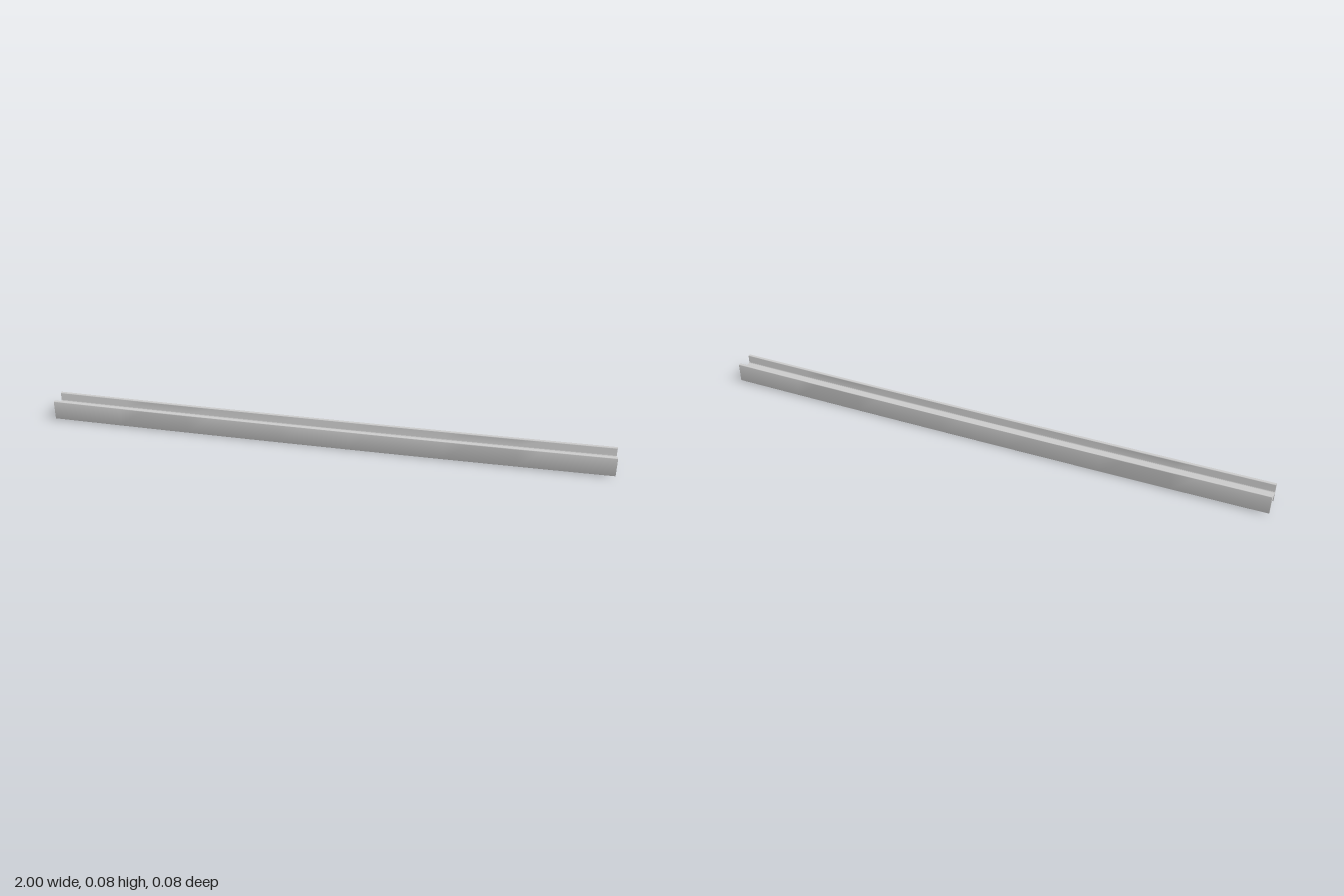
import * as THREE from 'three';
import { toCreasedNormals } from 'three/addons/utils/BufferGeometryUtils.js';

const LENGTH = 2, SAG = 0.004;
const OUT = 0.039, IN = 0.0275;      // outer and inner faces of the flanges
const LOW = 0.004, HIGH = 0.075;     // flange edges at the beam ends
const WEB_LOW = 0.037, WEB_HIGH = 0.043;

// H-shaped section with rounded flange tips and filleted web corners
function sectionShape() {
  const r = 0.003, f = 0.006;
  const s = new THREE.Shape();
  s.moveTo(-OUT, LOW + r);
  s.quadraticCurveTo(-OUT, LOW, -OUT + r, LOW);
  s.lineTo(-IN - r, LOW);
  s.quadraticCurveTo(-IN, LOW, -IN, LOW + r);
  s.lineTo(-IN, WEB_LOW - f);
  s.quadraticCurveTo(-IN, WEB_LOW, -IN + f, WEB_LOW);
  s.lineTo(IN - f, WEB_LOW);
  s.quadraticCurveTo(IN, WEB_LOW, IN, WEB_LOW - f);
  s.lineTo(IN, LOW + r);
  s.quadraticCurveTo(IN, LOW, IN + r, LOW);
  s.lineTo(OUT - r, LOW);
  s.quadraticCurveTo(OUT, LOW, OUT, LOW + r);
  s.lineTo(OUT, HIGH - r);
  s.quadraticCurveTo(OUT, HIGH, OUT - r, HIGH);
  s.lineTo(IN + r, HIGH);
  s.quadraticCurveTo(IN, HIGH, IN, HIGH - r);
  s.lineTo(IN, WEB_HIGH + f);
  s.quadraticCurveTo(IN, WEB_HIGH, IN - f, WEB_HIGH);
  s.lineTo(-IN + f, WEB_HIGH);
  s.quadraticCurveTo(-IN, WEB_HIGH, -IN, WEB_HIGH + f);
  s.lineTo(-IN, HIGH - r);
  s.quadraticCurveTo(-IN, HIGH, -IN - r, HIGH);
  s.lineTo(-OUT + r, HIGH);
  s.quadraticCurveTo(-OUT, HIGH, -OUT, HIGH - r);
  s.closePath();
  return s;
}

export function createModel() {
  const group = new THREE.Group();
  group.name = 'beam';

  const geometry = new THREE.ExtrudeGeometry(sectionShape(), {
    depth: LENGTH, steps: 24, curveSegments: 5, bevelEnabled: false,
  });
  geometry.translate(0, 0, -LENGTH / 2).rotateY(Math.PI / 2);

  // Slight sag towards the middle of the span
  const p = geometry.attributes.position;
  for (let i = 0; i < p.count; i++) {
    const x = p.getX(i);
    p.setY(i, p.getY(i) - SAG * (1 - x * x));
  }

  const beam = new THREE.Mesh(
    toCreasedNormals(geometry, 0.6),
    new THREE.MeshStandardMaterial({ color: 0xcccccc }),
  );
  beam.name = 'hBeam';
  group.add(beam);
  return group;
}
